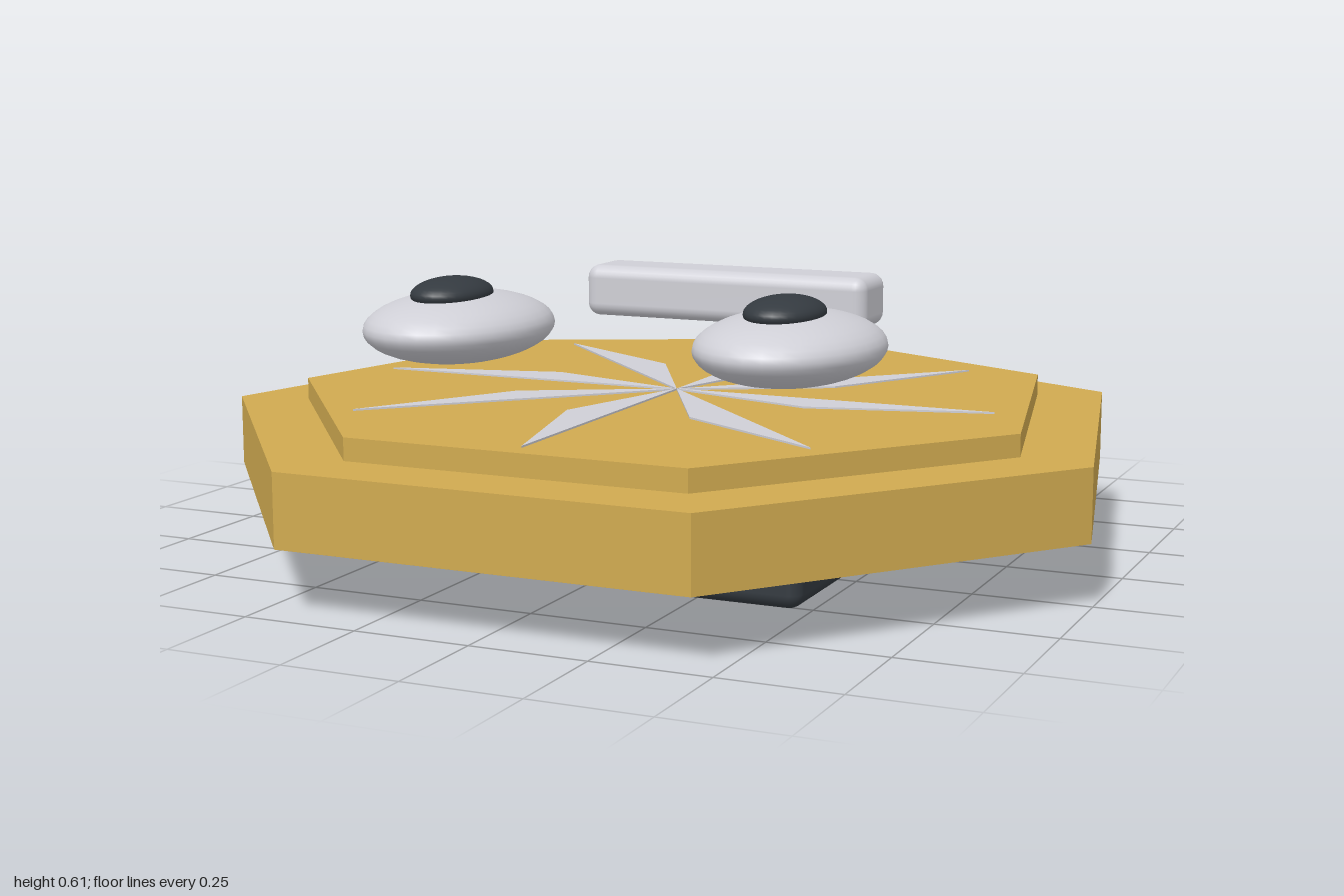
import * as THREE from 'three';
import { RoundedBoxGeometry } from 'three/addons/geometries/RoundedBoxGeometry.js';

const gold = new THREE.MeshStandardMaterial({ color: 0xd0aa50 });
gold.name = 'gold';
const silver = new THREE.MeshStandardMaterial({ color: 0xcfcfd6 });
silver.name = 'silver';
const charcoal = new THREE.MeshStandardMaterial({ color: 0x343a40 });
charcoal.name = 'charcoal';

const CENTRE_Z = 0.05;

export function createModel() {
  const model = new THREE.Group();

  function add(name, geometry, material, x, y, z) {
    const mesh = new THREE.Mesh(geometry, material);
    mesh.name = name;
    mesh.position.set(x, y, z);
    model.add(mesh);
    return mesh;
  }

  // Seven-sided slab, one corner pointing to the back
  function heptagon(name, radius, bottom, top) {
    const geometry = new THREE.CylinderGeometry(radius, radius, top - bottom, 7).toNonIndexed();
    geometry.computeVertexNormals();
    geometry.rotateY(Math.PI);
    add(name, geometry, gold, 0, (bottom + top) / 2, CENTRE_Z);
  }
  heptagon('lowerPlate', 1.0257, 0.135, 0.29);
  heptagon('upperPlate', 0.863, 0.29, 0.338);

  // Rounded square foot under the plate
  add('foot', new RoundedBoxGeometry(0.96, 0.17, 0.96, 3, 0.03), charcoal, 0, 0.085, CENTRE_Z);

  // Eight half-blades of the compass star, turned about the centre
  const blade = new THREE.Shape([
    new THREE.Vector2(0, 0),
    new THREE.Vector2(0.1, 0.34),
    new THREE.Vector2(0, 0.73),
  ]);
  const bladeGeometry = new THREE.ExtrudeGeometry(blade, { depth: 0.006, bevelEnabled: false });
  bladeGeometry.rotateX(-Math.PI / 2);
  for (let i = 0; i < 8; i++) {
    add('starBlade', bladeGeometry, silver, 0, 0.336, CENTRE_Z).rotation.y = (-i * Math.PI) / 4;
  }

  // Bar floating above the back half
  add('bar', new RoundedBoxGeometry(0.7, 0.12, 0.157, 3, 0.03), silver, 0, 0.516, -0.273);

  // Flattened discs with dark caps
  const ball = new THREE.SphereGeometry(1, 32, 20);
  for (const side of [-1, 1]) {
    add('eye', ball, silver, side * 0.384, 0.499, 0.338).scale.set(0.19, 0.077, 0.254);
    add('pupil', ball, charcoal, side * 0.384, 0.573, 0.37).scale.set(0.08, 0.036, 0.113);
  }

  return model;
}
